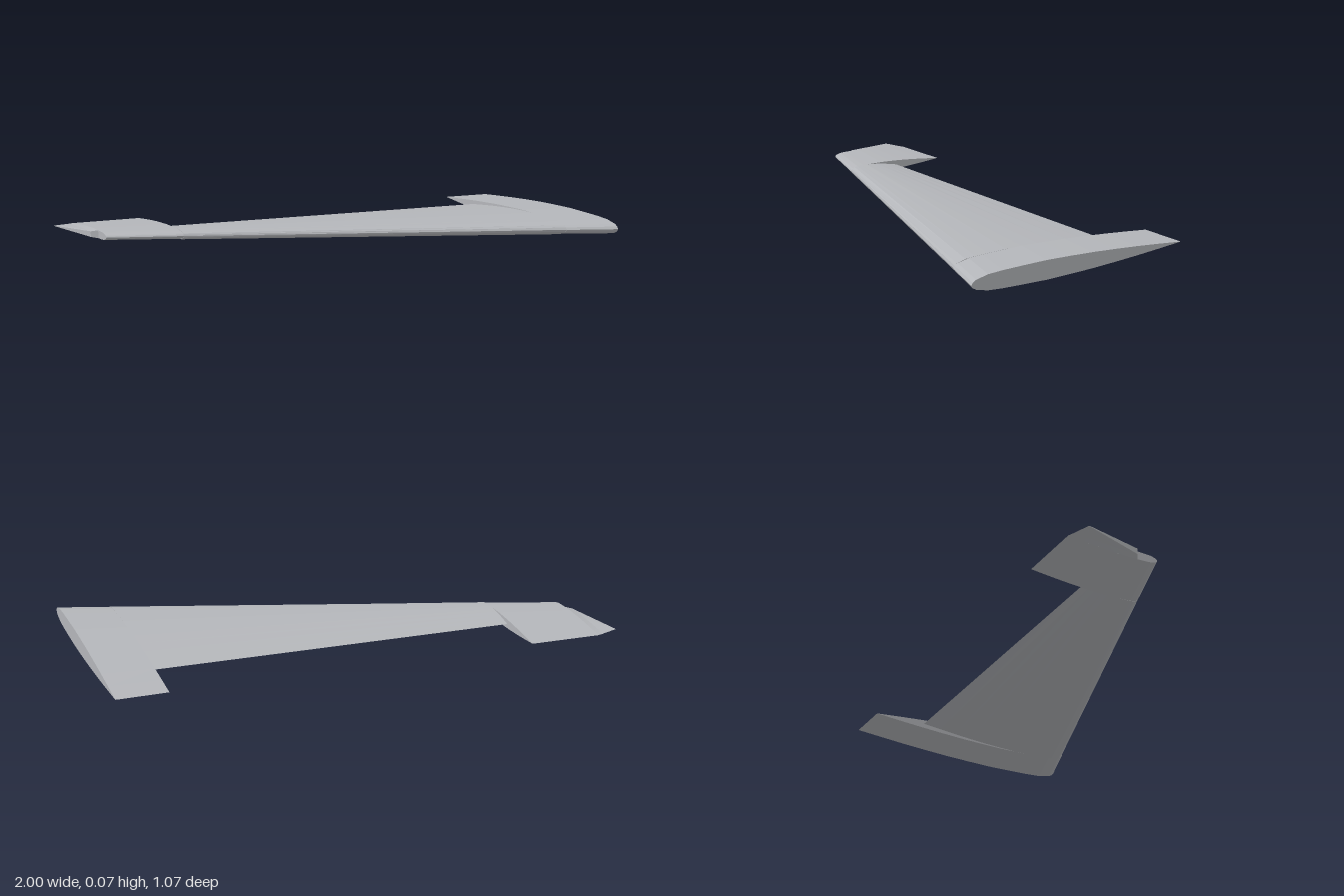
import * as THREE from 'three';

// Aerofoil half-thickness along the chord: [chord fraction, fraction of maximum]
const PROFILE = [[0, 0], [0.007, 0.27], [0.022, 0.5], [0.075, 0.8], [0.14, 0.9], [0.22, 0.95],
  [0.34, 1], [0.45, 0.93], [0.56, 0.83], [0.67, 0.67], [0.78, 0.48], [0.89, 0.25], [1, 0]];

function thickness(t) {
  const i = Math.max(1, PROFILE.findIndex(p => p[0] >= t));
  const [t0, h0] = PROFILE[i - 1], [t1, h1] = PROFILE[i];
  return h0 + (h1 - h0) * (t - t0) / (t1 - t0);
}

// Closed loop over the top to the trailing edge and back underneath;
// "from" cuts the nose off bluntly at that chord fraction
function section({ x, front, back, top, bottom, tailY, from = 0 }) {
  const centre = (top + bottom) / 2, half = (top - bottom) / 2;
  const point = (u, side) => {
    const t = from + (1 - from) * u;
    const y = centre + (tailY - centre) * t + side * half * thickness(t);
    return [x, y, front + (back - front) * u];
  };
  const upper = PROFILE.map(p => point(p[0], 1));
  const lower = PROFILE.slice(from ? 0 : 1, -1).reverse().map(p => point(p[0], -1));
  return [...upper, ...lower];
}

// Skin a row of sections running from +x to -x, and close both ends
function loft(name, specs, material) {
  const rings = specs.map(section), n = rings[0].length, index = [];
  for (let r = 0; r < rings.length - 1; r++) {
    for (let j = 0; j < n; j++) {
      const a = r * n + j, b = r * n + (j + 1) % n;
      index.push(a, b, a + n, b, b + n, a + n);
    }
  }
  const last = (rings.length - 1) * n;
  for (let j = 1; j < n - 1; j++) {
    index.push(0, j + 1, j);
    index.push(last, last + j, last + j + 1);
  }
  const geometry = new THREE.BufferGeometry();
  geometry.setAttribute('position', new THREE.Float32BufferAttribute(rings.flat(2), 3));
  geometry.setIndex(index);
  const flat = geometry.toNonIndexed();
  flat.computeVertexNormals();
  const mesh = new THREE.Mesh(flat, material);
  mesh.name = name;
  return mesh;
}

export function createModel() {
  const group = new THREE.Group();
  group.name = 'wing';
  const grey = new THREE.MeshStandardMaterial({ color: 0xb4b6ba, flatShading: true });
  grey.name = 'light grey';

  // Long-chord panel at the root
  group.add(loft('rootPanel', [
    { x: 1, front: 0.53, back: -0.445, top: 0.072, bottom: 0, tailY: 0.038 },
    { x: 0.8, front: 0.457, back: -0.452, top: 0.072, bottom: 0.005, tailY: 0.04 },
  ], grey));

  // Tapered main panel
  group.add(loft('mainPanel', [
    { x: 0.8, front: 0.455, back: -0.23, top: 0.071, bottom: 0.006, tailY: 0.041 },
    { x: -0.63, front: -0.066, back: -0.3, top: 0.074, bottom: 0.035, tailY: 0.054 },
  ], grey));

  // Long-chord panel near the tip
  group.add(loft('tipPanel', [
    { x: -0.63, front: -0.065, back: -0.523, top: 0.075, bottom: 0.034, tailY: 0.054 },
    { x: -0.91, front: -0.165, back: -0.535, top: 0.073, bottom: 0.04, tailY: 0.055 },
  ], grey));

  // Bevelled tip behind the nose
  group.add(loft('tipCap', [
    { x: -0.91, front: -0.25, back: -0.535, top: 0.073, bottom: 0.04, tailY: 0.055, from: 0.23 },
    { x: -0.935, front: -0.266, back: -0.527, top: 0.068, bottom: 0.045, tailY: 0.055, from: 0.23 },
    { x: -1, front: -0.5, back: -0.507, top: 0.058, bottom: 0.056, tailY: 0.057, from: 0.23 },
  ], grey));

  return group;
}
